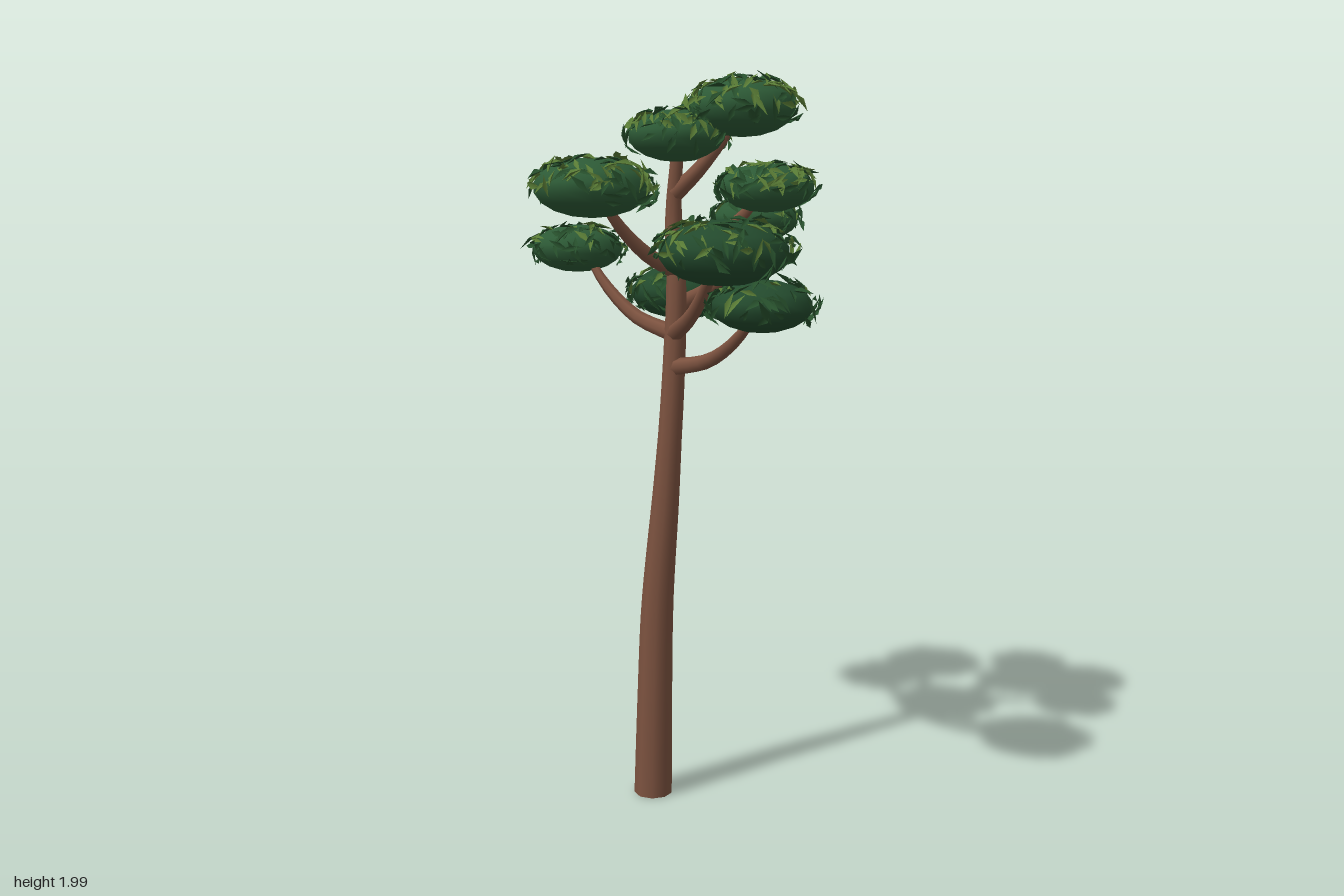
import * as THREE from 'three';
import { mergeGeometries } from 'three/addons/utils/BufferGeometryUtils.js';

// Small seeded random generator
let seed = 7;
const rand = () => {
  seed = (seed * 16807) % 2147483647;
  return seed / 2147483647;
};
const range = (a, b) => a + (b - a) * rand();

const bark = new THREE.MeshStandardMaterial({ color: 0x7d5340 });
const leafLight = new THREE.MeshStandardMaterial({ color: 0x5a7d36, side: THREE.DoubleSide });
const leafDark = new THREE.MeshStandardMaterial({ color: 0x27502c, side: THREE.DoubleSide });
const foliage = new THREE.MeshStandardMaterial({ color: 0x2d5a36 });
const foliageDark = new THREE.MeshStandardMaterial({ color: 0x234a2d });

// Tube along a path whose radius runs through the given values
function limb(name, points, radii, sides, segments) {
  const curve = new THREE.CatmullRomCurve3(points.map(p => new THREE.Vector3(...p)));
  const geo = new THREE.TubeGeometry(curve, segments, 1, sides);
  const pos = geo.attributes.position;
  const v = new THREE.Vector3();
  for (let i = 0; i < pos.count; i++) {
    const t = Math.floor(i / (sides + 1)) / segments;
    const f = t * (radii.length - 1);
    const k = Math.min(Math.floor(f), radii.length - 2);
    const r = THREE.MathUtils.lerp(radii[k], radii[k + 1], f - k);
    const c = curve.getPointAt(t);
    v.fromBufferAttribute(pos, i).sub(c).multiplyScalar(r).add(c);
    pos.setXYZ(i, v.x, Math.max(0, v.y), v.z);
  }
  const mesh = new THREE.Mesh(geo, bark);
  mesh.name = name;
  return mesh;
}

// Pointed leaf in the XY plane, folded along its length and curled at the tip
function leafGeometry(length, width) {
  const geo = new THREE.BufferGeometry();
  geo.setAttribute('position', new THREE.Float32BufferAttribute([
    0, -length / 2, 0,
    width / 2, 0, width * 0.25,
    0, length / 2, -width * 0.4,
    -width / 2, 0, width * 0.25,
  ], 3));
  geo.setIndex([0, 1, 2, 0, 2, 3]);
  geo.computeVertexNormals();
  return geo;
}

// Leaves scattered over an ellipsoid, mostly on the rim and top
function leafLayer(name, count, rx, ry, minUp, material) {
  const leaves = [];
  const dummy = new THREE.Object3D();
  for (let i = 0; i < count; i++) {
    const a = range(0, Math.PI * 2);
    const up = range(minUp, 0.95);
    const flat = Math.sqrt(1 - up * up);
    const grow = range(1.0, 1.13);
    const p = new THREE.Vector3(Math.cos(a) * flat * rx, up * ry, Math.sin(a) * flat * rx);
    const n = new THREE.Vector3(p.x / (rx * rx), p.y / (ry * ry), p.z / (rx * rx)).normalize();
    dummy.position.copy(p).multiplyScalar(grow);
    dummy.lookAt(dummy.position.clone().add(n));
    dummy.rotateZ(range(0, Math.PI * 2));
    dummy.rotateX(range(-0.45, 0.45));
    dummy.rotateY(range(-0.45, 0.45));
    dummy.updateMatrix();
    leaves.push(leafGeometry(range(0.045, 0.075), range(0.013, 0.022)).applyMatrix4(dummy.matrix));
  }
  const mesh = new THREE.Mesh(mergeGeometries(leaves), material);
  mesh.name = name;
  return mesh;
}

// Flattened leafy ball
function clump({ name, at, rx, ry, light, dark, shade }) {
  const group = new THREE.Group();
  group.name = name;
  const core = new THREE.Mesh(new THREE.SphereGeometry(1, 13, 9).scale(rx, ry, rx), shade);
  core.name = 'foliageCore';
  core.rotation.y = range(0, 3);
  group.add(core,
    leafLayer('lightLeaves', light, rx, ry, 0, leafLight),
    leafLayer('darkLeaves', dark, rx, ry, -0.55, leafDark));
  group.position.set(...at);
  return group;
}

export function createModel() {
  seed = 7;
  const tree = new THREE.Group();
  tree.name = 'tree';

  // Leaning trunk with a closed foot
  tree.add(limb('trunk', [
    [-0.09, 0, 0.075], [-0.08, 0.28, 0.077], [-0.07, 0.56, 0.075], [-0.045, 0.9, 0.063],
    [-0.025, 1.22, 0.055], [-0.02, 1.45, 0.05], [-0.035, 1.62, 0.045], [-0.015, 1.8, 0.05],
  ], [0.054, 0.05, 0.046, 0.04, 0.033, 0.03, 0.025, 0.016], 9, 28));
  const foot = new THREE.Mesh(new THREE.CircleGeometry(0.053, 9).rotateX(Math.PI / 2), bark);
  foot.name = 'trunkFoot';
  foot.position.set(-0.09, 0.001, 0.075);
  tree.add(foot);

  // Branches, each running from the trunk into a clump
  const branches = {
    backRightBranch: [[-0.025, 1.275, 0.05], [-0.14, 1.285, -0.09], [-0.21, 1.325, -0.18], [-0.28, 1.38, -0.26]],
    rightBranch: [[-0.025, 1.31, 0.055], [-0.16, 1.35, 0.06], [-0.27, 1.43, 0.065], [-0.35, 1.52, 0.065]],
    leftLowBranch: [[-0.025, 1.22, 0.055], [0.14, 1.255, 0.1], [0.26, 1.32, 0.13], [0.35, 1.4, 0.155]],
    frontLeftBranch: [[-0.025, 1.31, 0.055], [0.12, 1.375, 0.14], [0.21, 1.45, 0.19], [0.29, 1.53, 0.24]],
    backBranch: [[-0.025, 1.38, 0.05], [-0.04, 1.44, -0.14], [-0.05, 1.52, -0.24], [-0.06, 1.6, -0.31]],
    frontBranch: [[-0.02, 1.48, 0.05], [-0.035, 1.52, 0.14], [-0.055, 1.59, 0.22], [-0.07, 1.68, 0.29]],
    leftHighBranch: [[-0.03, 1.55, 0.05], [0.09, 1.565, 0.03], [0.16, 1.61, 0.015], [0.23, 1.68, 0]],
    topBranch: [[-0.03, 1.68, 0.045], [0.03, 1.74, 0.02], [0.08, 1.81, -0.01], [0.12, 1.88, -0.04]],
  };
  for (const [name, points] of Object.entries(branches)) {
    tree.add(limb(name, points, [0.024, 0.02, 0.016, 0.01], 7, 9));
  }

  // Foliage
  const clumps = [
    { name: 'backRightClump', at: [-0.305, 1.395, -0.29], rx: 0.158, ry: 0.08, light: 14, dark: 105, shade: foliageDark },
    { name: 'backClump', at: [-0.06, 1.61, -0.325], rx: 0.123, ry: 0.063, light: 22, dark: 70, shade: foliage },
    { name: 'rightClump', at: [-0.38, 1.53, 0.068], rx: 0.126, ry: 0.066, light: 18, dark: 75, shade: foliage },
    { name: 'frontClump', at: [-0.075, 1.695, 0.305], rx: 0.15, ry: 0.076, light: 80, dark: 65, shade: foliage },
    { name: 'frontLeftClump', at: [0.315, 1.54, 0.245], rx: 0.16, ry: 0.08, light: 55, dark: 80, shade: foliageDark },
    { name: 'leftLowClump', at: [0.365, 1.41, 0.16], rx: 0.125, ry: 0.065, light: 14, dark: 75, shade: foliageDark },
    { name: 'leftHighClump', at: [0.245, 1.695, 0], rx: 0.122, ry: 0.062, light: 45, dark: 60, shade: foliage },
    { name: 'crownClump', at: [-0.015, 1.83, 0.05], rx: 0.13, ry: 0.068, light: 60, dark: 60, shade: foliage },
    { name: 'topClump', at: [0.125, 1.9, -0.045], rx: 0.14, ry: 0.075, light: 60, dark: 70, shade: foliage },
  ];
  clumps.forEach(c => tree.add(clump(c)));
  return tree;
}
